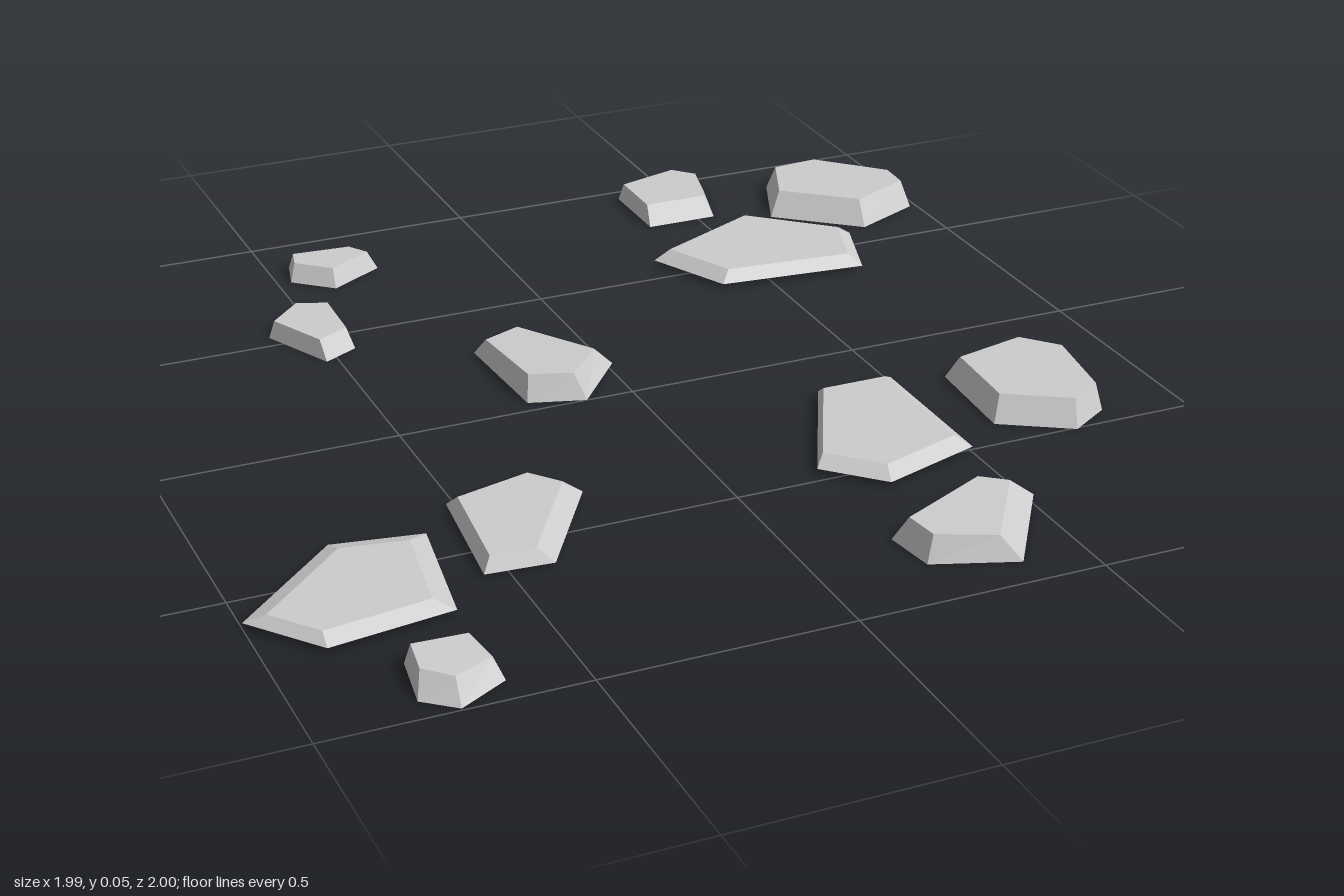
import * as THREE from 'three';

const material = new THREE.MeshStandardMaterial({
  color: 0xcccccc, flatShading: true, side: THREE.DoubleSide,
});

// Outline pulled inwards, each edge by its own bevel width.
function insetOutline(points, bevels) {
  const n = points.length;
  const lines = points.map((p, i) => {
    const d = points[(i + 1) % n].clone().sub(p).normalize();
    const inward = new THREE.Vector2(-d.y, d.x);
    return { d, p: p.clone().addScaledVector(inward, bevels[i]) };
  });
  return lines.map((b, i) => {
    const a = lines[(i + n - 1) % n];
    const t = b.p.clone().sub(a.p).cross(b.d) / a.d.cross(b.d);
    return a.p.clone().addScaledVector(a.d, t);
  });
}

// Bevelled slab, open underneath. outline: x,z pairs, clockwise from above.
// top: height at the middle, with optional slopes along x and z.
function makeStone({ name, base = 0, top, slopeX = 0, slopeZ = 0, outline, bevels }) {
  const ring = bevels.map((_, i) => new THREE.Vector2(outline[2 * i], outline[2 * i + 1]));
  const inner = insetOutline(ring, bevels);
  const mid = new THREE.Vector2();
  inner.forEach((p) => mid.addScaledVector(p, 1 / inner.length));

  const low = ring.map((p) => new THREE.Vector3(p.x, base, p.y));
  const high = inner.map((p) => new THREE.Vector3(
    p.x, top + slopeX * (p.x - mid.x) + slopeZ * (p.y - mid.y), p.y));
  const centre = new THREE.Vector3(mid.x, top, mid.y);

  const corners = [];
  low.forEach((a, i) => {
    const j = (i + 1) % low.length;
    corners.push(a, high[i], low[j], low[j], high[i], high[j]); // bevelled side
    corners.push(centre, high[j], high[i]); // top wedge
  });
  const geometry = new THREE.BufferGeometry().setFromPoints(corners);
  geometry.computeVertexNormals();
  const mesh = new THREE.Mesh(geometry, material);
  mesh.name = name;
  return mesh;
}

export function createModel() {
  const group = new THREE.Group();
  group.name = 'steppingStones';
  const add = (options) => group.add(makeStone(options));

  // Back left cluster
  add({ name: 'backLeftOuterStone', top: 0.053,
    outline: [0.73, -0.89, 0.85, -0.9, 0.99, -0.76, 0.985, -0.65, 0.83, -0.58, 0.66, -0.72],
    bevels: [0.015, 0.01, 0.01, 0.035, 0.035, 0.02] });
  add({ name: 'backLeftLargeStone', base: 0.012, top: 0.035,
    outline: [0.3, -0.57, 0.585, -0.705, 0.77, -0.54, 0.71, -0.36, 0.385, -0.39],
    bevels: [0.02, 0.03, 0.03, 0.025, 0.03] });
  add({ name: 'backLeftSmallStone', top: 0.043,
    outline: [0.38, -0.96, 0.52, -1, 0.585, -0.93, 0.54, -0.775, 0.38, -0.775],
    bevels: [0.02, 0.01, 0.02, 0.03, 0.005] });

  // Front left cluster
  add({ name: 'frontLeftOuterStone', top: 0.053,
    outline: [0.615, 0.19, 0.785, 0.15, 0.865, 0.24, 0.83, 0.45, 0.74, 0.505, 0.6, 0.42],
    bevels: [0.03, 0.015, 0.01, 0.02, 0.03, 0.02] });
  add({ name: 'frontLeftLargeStone', base: 0.012, top: 0.033,
    outline: [0.335, 0.17, 0.5, 0.17, 0.5, 0.51, 0.285, 0.58, 0.18, 0.475],
    bevels: [0.03, 0.03, 0.03, 0.03, 0.01] });
  add({ name: 'frontLeftFrontStone', top: 0.046, slopeX: -0.05,
    outline: [0.19, 0.76, 0.415, 0.64, 0.52, 0.71, 0.37, 0.93, 0.205, 0.87],
    bevels: [0.03, 0.025, 0.045, 0.02, 0.02] });

  // Front right cluster
  add({ name: 'frontRightSmallStone', top: 0.041, slopeX: -0.08,
    outline: [-0.78, 0.82, -0.655, 0.81, -0.64, 0.94, -0.74, 0.995, -0.8, 0.945],
    bevels: [0.015, 0.01, 0.03, 0.03, 0.01] });
  add({ name: 'frontRightLargeStone', base: 0.012, top: 0.03,
    outline: [-1, 0.6, -0.775, 0.39, -0.595, 0.42, -0.64, 0.705, -0.89, 0.74],
    bevels: [0.04, 0.05, 0.04, 0.03, 0.02] });
  add({ name: 'frontRightInnerStone', base: 0.008, top: 0.037,
    outline: [-0.52, 0.32, -0.345, 0.275, -0.265, 0.375, -0.415, 0.61, -0.55, 0.6],
    bevels: [0.035, 0.03, 0.035, 0.015, 0.015] });

  // Back right pebbles
  add({ name: 'backRightFarPebble', top: 0.038,
    outline: [-0.45, -0.88, -0.315, -0.87, -0.27, -0.8, -0.39, -0.73, -0.47, -0.8],
    bevels: [0.015, 0.01, 0.02, 0.02, 0.01] });
  add({ name: 'backRightNearPebble', top: 0.038,
    outline: [-0.52, -0.62, -0.445, -0.59, -0.45, -0.42, -0.525, -0.38, -0.6, -0.54],
    bevels: [0.01, 0.01, 0.03, 0.01, 0.01] });

  // Middle stone, sloping down towards the back
  add({ name: 'middleStone', top: 0.047, slopeX: -0.04, slopeZ: 0.05,
    outline: [-0.23, -0.3, -0.115, -0.36, 0.015, -0.14, -0.1, 0, -0.215, -0.035],
    bevels: [0.04, 0.04, 0.03, 0.02, 0.01] });

  return group;
}
